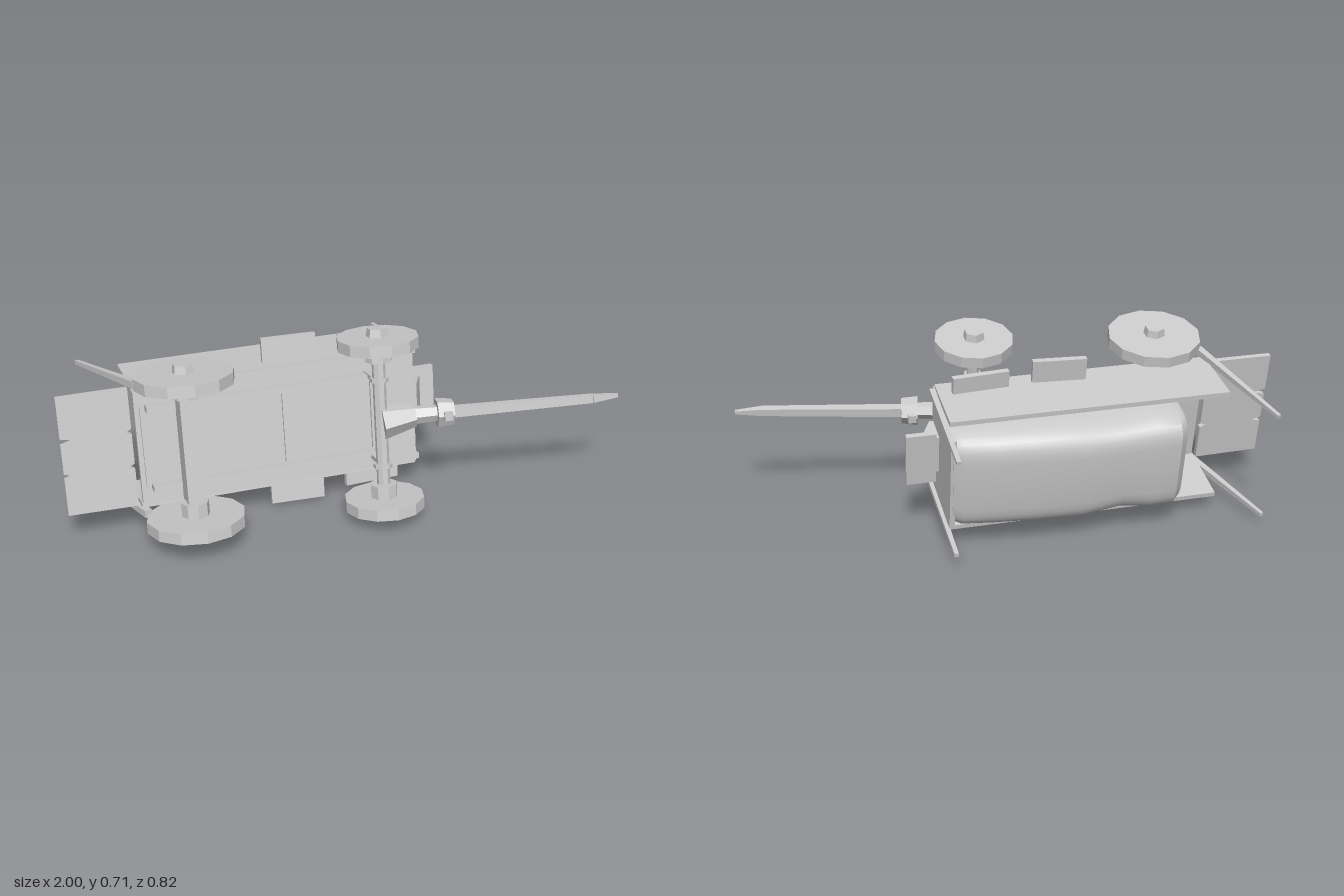
import * as THREE from 'three';
import { toCreasedNormals } from 'three/addons/utils/BufferGeometryUtils.js';

const grey = new THREE.MeshStandardMaterial({ color: 0xcccccc, flatShading: true });
const cloth = new THREE.MeshStandardMaterial({ color: 0xcccccc, side: THREE.DoubleSide });

function add(parent, name, geometry, material = grey) {
  const mesh = new THREE.Mesh(geometry, material);
  mesh.name = name;
  parent.add(mesh);
  return mesh;
}

function box(parent, name, [w, h, d], [x, y, z]) {
  const mesh = add(parent, name, new THREE.BoxGeometry(w, h, d));
  mesh.position.set(x, y, z);
  return mesh;
}

// Tapered bar from a to b
function bar(parent, name, a, b, r0, r1, sides = 4) {
  const p = new THREE.Vector3(...a), q = new THREE.Vector3(...b);
  const dir = q.clone().sub(p);
  const g = new THREE.CylinderGeometry(r1, r0, dir.length(), sides);
  g.rotateY(Math.PI / sides);
  const mesh = add(parent, name, g);
  mesh.position.copy(p.add(q).multiplyScalar(0.5));
  mesh.quaternion.setFromUnitVectors(new THREE.Vector3(0, 1, 0), dir.normalize());
  return mesh;
}

// Flat outline pushed out to a thickness
function plate(points, depth) {
  const shape = new THREE.Shape(points.map(([x, y]) => new THREE.Vector2(x, y)));
  return new THREE.ExtrudeGeometry(shape, { depth, bevelEnabled: false });
}

// Solid disc wheel with hub, lying along the sideways axis
function wheel(parent, name, x, y, z, radius, side, outer) {
  const g = new THREE.Group();
  g.name = name;
  g.position.set(x, y, z * side);
  g.rotation.x = side * Math.PI / 2;
  add(g, 'wheelDisc', new THREE.CylinderGeometry(radius, radius, 0.042, 12));
  add(g, 'outerHub', new THREE.CylinderGeometry(0.036, 0.045, outer, 6)).position.y = outer / 2;
  add(g, 'innerHub', new THREE.CylinderGeometry(0.05, 0.05, 0.07, 8)).position.y = -0.035;
  parent.add(g);
}

// Load cover: rounded cross-sections [x, half width, top height]
function coverGeometry() {
  const stations = [[-0.56, 0.185, 0.625], [-0.53, 0.2, 0.655], [-0.44, 0.2, 0.655], [-0.33, 0.185, 0.648],
    [-0.18, 0.198, 0.664], [0, 0.2, 0.652], [0.15, 0.198, 0.638], [0.26, 0.197, 0.622], [0.295, 0.188, 0.597]];
  const n = 20, base = 0.42, bend = v => Math.sign(v) * Math.abs(v) ** 0.38;
  const rows = stations.map(([x, w, top]) => Array.from({ length: n + 1 }, (_, j) => {
    const a = Math.PI * (1 - j / n);
    return [x, base + (top - base) * bend(Math.max(0, Math.sin(a))), w * bend(Math.abs(Math.cos(a)) < 1e-6 ? 0 : Math.cos(a))];
  }));
  const out = [];
  for (let i = 0; i < rows.length - 1; i++) {
    for (let j = 0; j < n; j++) {
      const a = rows[i][j], b = rows[i][j + 1], c = rows[i + 1][j], d = rows[i + 1][j + 1];
      out.push(...a, ...b, ...c, ...b, ...d, ...c);
    }
  }
  // End faces
  const first = rows[0], last = rows[rows.length - 1];
  for (let j = 0; j < n; j++) {
    out.push(first[0][0], base, 0, ...first[j + 1], ...first[j]);
    out.push(last[0][0], base, 0, ...last[j], ...last[j + 1]);
  }
  const g = new THREE.BufferGeometry();
  g.setAttribute('position', new THREE.Float32BufferAttribute(out, 3));
  return toCreasedNormals(g, 0.7);
}

export function createModel() {
  const root = new THREE.Group();
  root.name = 'overturnedWagon';

  // The wagon is built upright, +x forward, then laid on its side
  const wagon = new THREE.Group();
  wagon.name = 'wagon';
  wagon.rotation.x = THREE.MathUtils.degToRad(-100);
  wagon.position.set(0, 0.373, 0.347);
  root.add(wagon);

  // Bed
  box(wagon, 'floor', [1.03, 0.02, 0.44], [-0.22, 0.29, 0]);
  const front = plate([[-0.22, 0.28], [0.22, 0.28], [0.19, 0.594], [-0.19, 0.594]], 0.02);
  front.rotateY(Math.PI / 2);
  add(wagon, 'frontBoard', front).position.x = 0.285;
  for (const x of [-0.7, -0.185, 0.15]) box(wagon, 'floorCrossStrip', [0.035, 0.012, 0.3], [x, 0.276, 0]);

  // Load cover
  add(wagon, 'loadCover', coverGeometry(), cloth);

  // Dropped tailgate with split planks
  const tail = plate([[-0.75, -0.22], [-0.75, -0.08], [-0.77, -0.07], [-0.75, -0.06], [-0.75, 0.05],
    [-0.77, 0.06], [-0.75, 0.07], [-0.75, 0.22], [-1, 0.22], [-1, 0.07], [-0.95, 0.06], [-1, 0.045],
    [-1, -0.06], [-0.965, -0.07], [-1, -0.08], [-1, -0.215]], 0.02);
  tail.rotateX(Math.PI / 2);
  add(wagon, 'tailgate', tail).position.y = 0.31;

  // Axles
  box(wagon, 'rearAxle', [0.055, 0.085, 0.5], [-0.57, 0.19, 0]);
  bar(wagon, 'frontAxle', [0.125, 0.145, -0.29], [0.125, 0.145, 0.29], 0.024, 0.024, 8);

  for (const s of [-1, 1]) {
    // Side walls, leaning slightly outward
    const wall = plate([[-0.74, 0], [0.3, 0], [0.3, 0.265], [-0.74, 0.265]], 0.018);
    wall.translate(0, 0, -0.009);
    const wallMesh = add(wagon, 'sideWall', wall);
    wallMesh.position.set(0, 0.28, 0.218 * s);
    wallMesh.rotation.x = 0.04 * s;

    // Underframe
    box(wagon, 'underframeRail', [0.85, 0.045, 0.022], [-0.275, 0.25, 0.147 * s]);
    box(wagon, 'axleBracket', [0.03, 0.12, 0.016], [0.125, 0.21, 0.155 * s]);
    bar(wagon, 'axleRing', [0.125, 0.145, 0.156 * s], [0.125, 0.145, 0.17 * s], 0.034, 0.034, 8);

    // Wheels
    wheel(wagon, 'rearWheel', -0.57, 0.175, 0.263, 0.177, s, 0.05);
    wheel(wagon, 'frontWheel', 0.125, 0.145, 0.303, 0.147, s, 0.05);

    // Corner stakes
    bar(wagon, 'frontStake', [0.31, 0.29, 0.207 * s], [0.31, 0.735, 0.2 * s], 0.015, 0.011);
    bar(wagon, 'rearStake', [-0.725, 0.25, 0.24 * s], [-0.865, 0.706, 0.221 * s], 0.019, 0.01);

    // Side shelves
    box(wagon, 'sideShelf', [0.2, 0.022, 0.1], [-0.15, 0.335, 0.267 * s]).rotation.z = -0.07;
    box(wagon, 'sideShelf', [0.21, 0.022, 0.075], [0.145, 0.345, 0.257 * s]).rotation.z = 0.07;
  }

  // Driver's seat with sloped support
  box(wagon, 'seat', [0.11, 0.022, 0.21], [0.375, 0.41, 0]);
  const support = plate([[0.3, 0.29], [0.32, 0.29], [0.375, 0.4], [0.3, 0.4]], 0.15);
  support.translate(0, 0, -0.075);
  add(wagon, 'seatSupport', support);

  // Drawbar resting its tip on the ground line
  bar(wagon, 'drawbarSocket', [0.13, 0.15, 0], [0.25, 0.135, 0.012], 0.064, 0.042, 6);
  bar(wagon, 'drawbarNeck', [0.24, 0.138, 0.012], [0.35, 0.12, 0.012], 0.034, 0.03, 6);
  bar(wagon, 'drawbarCollar', [0.33, 0.123, 0.012], [0.39, 0.112, 0.012], 0.055, 0.048, 6);
  bar(wagon, 'drawbarPin', [0.36, 0.18, 0.012], [0.355, 0.06, 0.012], 0.022, 0.022);
  bar(wagon, 'drawbarPole', [0.38, 0.113, 0.012], [0.9, 0.016, 0.012], 0.026, 0.02);
  bar(wagon, 'drawbarTip', [0.9, 0.016, 0.012], [1, 0.006, 0.012], 0.02, 0.009);

  return root;
}
